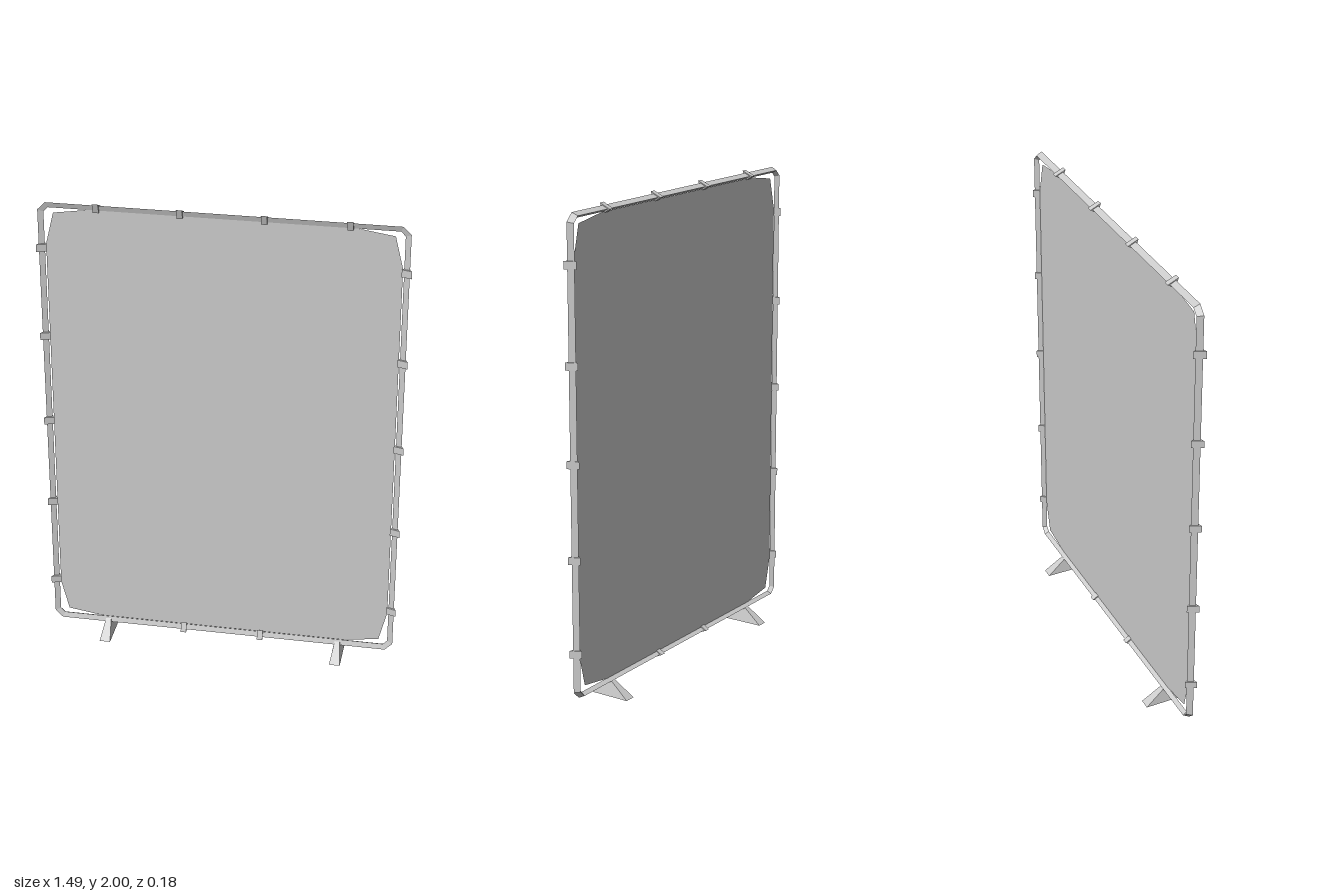
import * as THREE from 'three';

const W = 0.726, TOP = 1.978, BOTTOM = 0.066;
const MID = (TOP + BOTTOM) / 2, H = (TOP - BOTTOM) / 2;
const material = new THREE.MeshStandardMaterial({ color: 0xcccccc, flatShading: true, side: THREE.DoubleSide });

// Triangular section, as [outward, z] from the bar's axis
const clipSection = [[0.021, 0.024], [0, -0.021], [-0.02, 0.011]];
const barSection = [[0.012, 0.013], [0, -0.012], [-0.011, 0.006]];

function add(parent, name, geometry) {
  const mesh = new THREE.Mesh(geometry, material);
  mesh.name = name;
  parent.add(mesh);
  return mesh;
}

// Triangular tube swept round a rectangle with chamfered corners
function frameGeometry() {
  const loops = barSection.map(([o, z]) => {
    const w = W + o, h = H + o, c = 0.025 + o * 0.586;
    return [[w, h - c], [w - c, h], [c - w, h], [-w, h - c], [-w, c - h], [c - w, -h], [w - c, -h], [w, c - h]]
      .map(([x, y]) => [x, y + MID, z]);
  });
  const positions = [];
  for (let s = 0; s < 3; s++) {
    const a = loops[s], b = loops[(s + 1) % 3];
    for (let i = 0; i < 8; i++) {
      const j = (i + 1) % 8;
      positions.push(...a[i], ...b[j], ...b[i], ...a[i], ...a[j], ...b[j]);
    }
  }
  const geometry = new THREE.BufferGeometry();
  geometry.setAttribute('position', new THREE.Float32BufferAttribute(positions, 3));
  geometry.computeVertexNormals();
  return geometry;
}

function prism(points, length) {
  const shape = new THREE.Shape(points.map(([x, y]) => new THREE.Vector2(x, y)));
  return new THREE.ExtrudeGeometry(shape, { depth: length, bevelEnabled: false }).translate(0, 0, -length / 2);
}

// Clip wrapped round the bar, its section turned to face outward
function addClip(parent, x, y, outX, outY, length) {
  const out = new THREE.Vector3(outX, outY, 0), front = new THREE.Vector3(0, 0, 1);
  const basis = new THREE.Matrix4().makeBasis(out, front, out.clone().cross(front)).setPosition(x, y, 0);
  add(parent, 'clip', prism(clipSection, length).applyMatrix4(basis));
}

// Tent-shaped foot, narrowing towards its ridge
function footGeometry() {
  const geometry = prism([[-0.09, 0], [0.09, 0], [-0.004, 0.072]], 0.046).rotateY(Math.PI / 2);
  const p = geometry.attributes.position;
  for (let i = 0; i < p.count; i++) p.setX(i, p.getX(i) * (1 - 0.55 * p.getY(i) / 0.072));
  geometry.computeVertexNormals();
  return geometry;
}

export function createModel() {
  const model = new THREE.Group();
  model.name = 'framedScreen';

  add(model, 'frame', frameGeometry());

  // Thin stretched sheet with cut-back corners
  const corner = [[0.71, 0.79], [0.677, 0.923], [0.53, 0.945]];
  const back = [...corner].reverse();
  const outline = [
    ...corner, ...back.map(([x, y]) => [-x, y]),
    ...corner.map(([x, y]) => [-x, -y]), ...back.map(([x, y]) => [x, -y]),
  ].map(([x, y]) => new THREE.Vector2(x, y));
  add(model, 'sheet', new THREE.ShapeGeometry(new THREE.Shape(outline))).position.set(0, MID, 0.004);

  // Clips along all four bars
  const clips = new THREE.Group();
  clips.name = 'clips';
  model.add(clips);
  for (const side of [-1, 1]) {
    for (let i = 0; i < 5; i++) addClip(clips, side * W, 0.248 + i * 0.387, side, 0, 0.031);
    for (const x of [0.167, 0.502]) addClip(clips, side * x, TOP, 0, 1, 0.024);
    addClip(clips, side * 0.167, BOTTOM, 0, -1, 0.024);
  }

  // Feet
  for (const side of [-1, 1]) {
    add(model, side > 0 ? 'leftFoot' : 'rightFoot', footGeometry()).position.x = side * 0.502;
  }
  return model;
}
